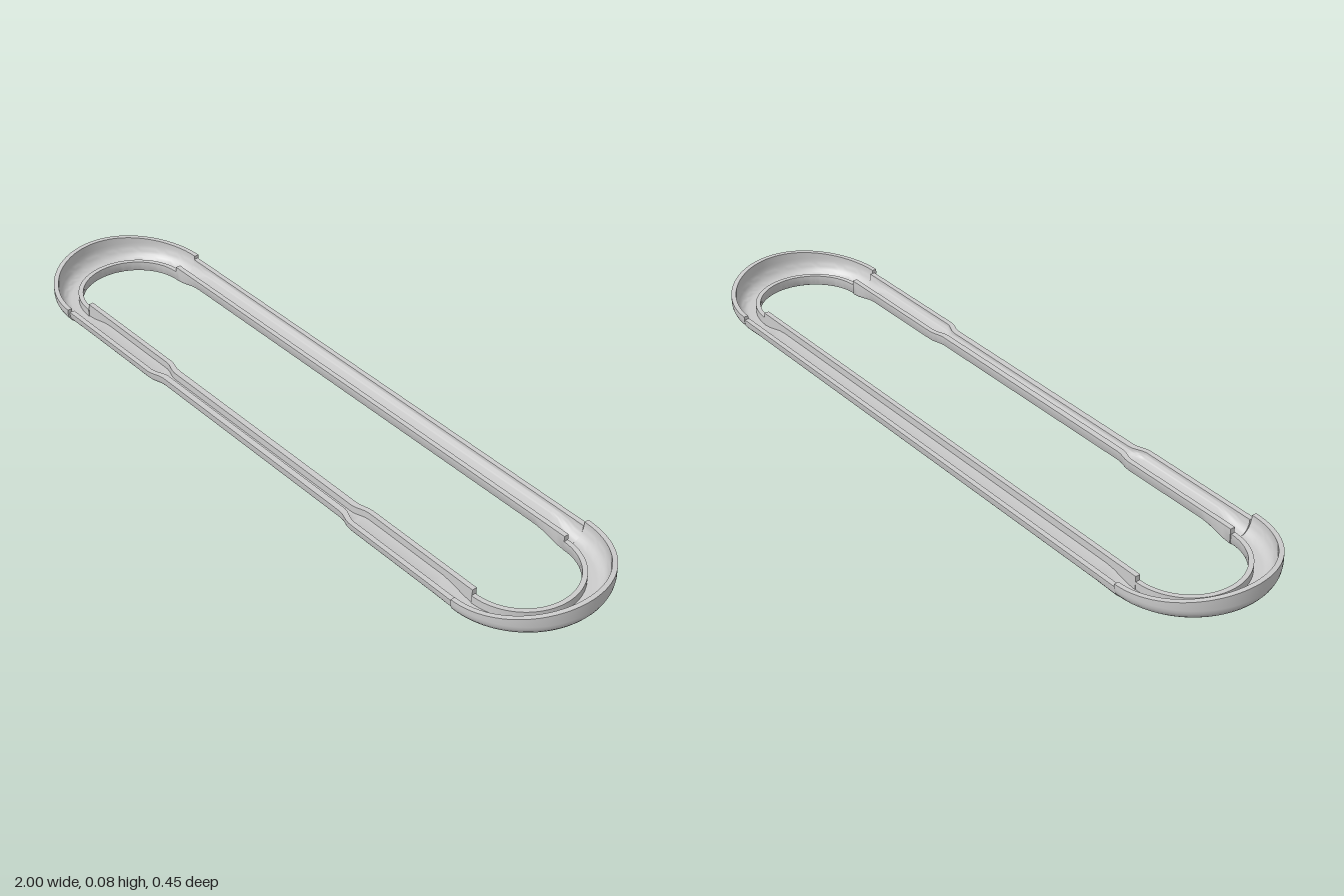
import * as THREE from 'three';
import { toCreasedNormals } from 'three/addons/utils/BufferGeometryUtils.js';

const CX = 0.775; // centre of the rounded ends
const material = new THREE.MeshStandardMaterial({ color: 0xcccccc });

// Sizes of the channel: inner/outer edge, bottom, outer/inner rim height,
// wall thickness, and radii of the rounded outer underside
const RAIL = { i: 0.145, o: 0.223, b: 0.018, ot: 0.048, it: 0.048, t: 0.014, rx: 0.02, ry: 0.022 };
const NARROW = { ...RAIL, i: 0.152, o: 0.206, t: 0.017, rx: 0.015 };
const FRONT = { ...RAIL, i: 0.142, o: 0.219 };
const BOWL = { i: 0.145, o: 0.225, b: 0, ot: 0.058, it: 0.032, t: 0.013, rx: 0.066, ry: 0.046 };
const RAIL_END = { ...RAIL, b: 0, rx: 0.06, ry: 0.04 };

const mix = (a, b, k) => Object.fromEntries(Object.keys(a).map((n) => [n, a[n] + (b[n] - a[n]) * k]));

// Counter-clockwise channel section, x = distance from the middle line
function section({ i, o, b, ot, it, t, rx, ry }) {
  const p = [];
  const add = (x, y) => p.push(new THREE.Vector2(x, y));
  const N = 8;
  const floor = b + 0.01;
  const r = 0.01;
  for (let k = 0; k <= 4; k++) { // inner lower edge
    const a = (k / 4) * Math.PI / 2;
    add(i + r - r * Math.cos(a), b + r - r * Math.sin(a));
  }
  for (let k = 0; k <= N; k++) { // rounded outer underside
    const a = (k / N) * Math.PI / 2;
    add(o - rx + rx * Math.sin(a), b + ry - ry * Math.cos(a));
  }
  add(o, ot);
  add(o - t, ot);
  const hx = Math.min(rx * 0.7, (o - i - 2 * t) * 0.6);
  const hy = Math.min(ry, ot - floor - 0.002);
  for (let k = N; k >= 0; k--) { // hollow of the trough
    const a = (k / N) * Math.PI / 2;
    add(o - t - hx + hx * Math.sin(a), floor + hy - hy * Math.cos(a));
  }
  add(i + t, floor);
  add(i + t, it);
  add(i, it);
  return p;
}

// Lofts sections placed by place(station, radius, height) and closes both ends
function loft(name, stations, place) {
  const rings = stations.map((s) => section(s.size));
  const n = rings[0].length;
  const pos = [];
  const index = [];
  rings.forEach((ring, s) => ring.forEach((q) => pos.push(...place(stations[s].at, q.x, q.y))));
  for (let s = 0; s < rings.length - 1; s++) {
    for (let j = 0; j < n; j++) {
      const a = s * n + j, b = s * n + (j + 1) % n;
      index.push(a, a + n, b, b, a + n, b + n);
    }
  }
  const last = (rings.length - 1) * n;
  for (const [a, b, c] of THREE.ShapeUtils.triangulateShape(rings[0], [])) index.push(a, b, c);
  for (const [a, b, c] of THREE.ShapeUtils.triangulateShape(rings[rings.length - 1], [])) {
    index.push(last + a, last + c, last + b);
  }
  const geo = new THREE.BufferGeometry();
  geo.setAttribute('position', new THREE.Float32BufferAttribute(pos, 3));
  geo.setIndex(index);
  const mesh = new THREE.Mesh(toCreasedNormals(geo, 0.6), material);
  mesh.name = name;
  return mesh;
}

// Bowl-shaped end whose rim rises toward the tip
function makeEnd(name, side) {
  const stations = [];
  const start = side > 0 ? 0 : Math.PI;
  for (let k = 0; k <= 48; k++) {
    const a = start + (k / 48) * Math.PI;
    stations.push({ at: a, size: { ...BOWL, ot: BOWL.ot + 0.022 * Math.sin(a) ** 2 } });
  }
  return loft(name, stations, (a, r, y) => [side * CX + r * Math.sin(a), y, r * Math.cos(a)]);
}

// Straight rail running along x, with mirrored stations given as [x, size]
function makeRail(name, half, side) {
  const all = [...half.map(([x, size]) => ({ at: -x, size })),
    ...half.slice().reverse().map(([x, size]) => ({ at: x, size }))];
  return loft(name, all, (x, r, y) => [side * x, y, side * r]);
}

// Underside slopes gently from the bowl up to the rail
function flare(size) {
  const end = { ...RAIL_END, i: size.i, o: size.o };
  return [0, 0.25, 0.5, 0.75, 1].map((k) => [CX - 0.1 * k, mix(end, size, THREE.MathUtils.smoothstep(k, 0, 1))]);
}

export function createModel() {
  const group = new THREE.Group();
  group.name = 'channelFrame';
  const taper = [0, 0.25, 0.5, 0.75, 1].map((k) =>
    [0.41 - 0.05 * k, mix(FRONT, NARROW, THREE.MathUtils.smoothstep(k, 0, 1))]);
  group.add(
    makeEnd('leftEnd', 1),
    makeEnd('rightEnd', -1),
    makeRail('backRail', flare(RAIL), -1),
    makeRail('frontRail', [...flare(FRONT), ...taper], 1),
  );
  return group;
}
